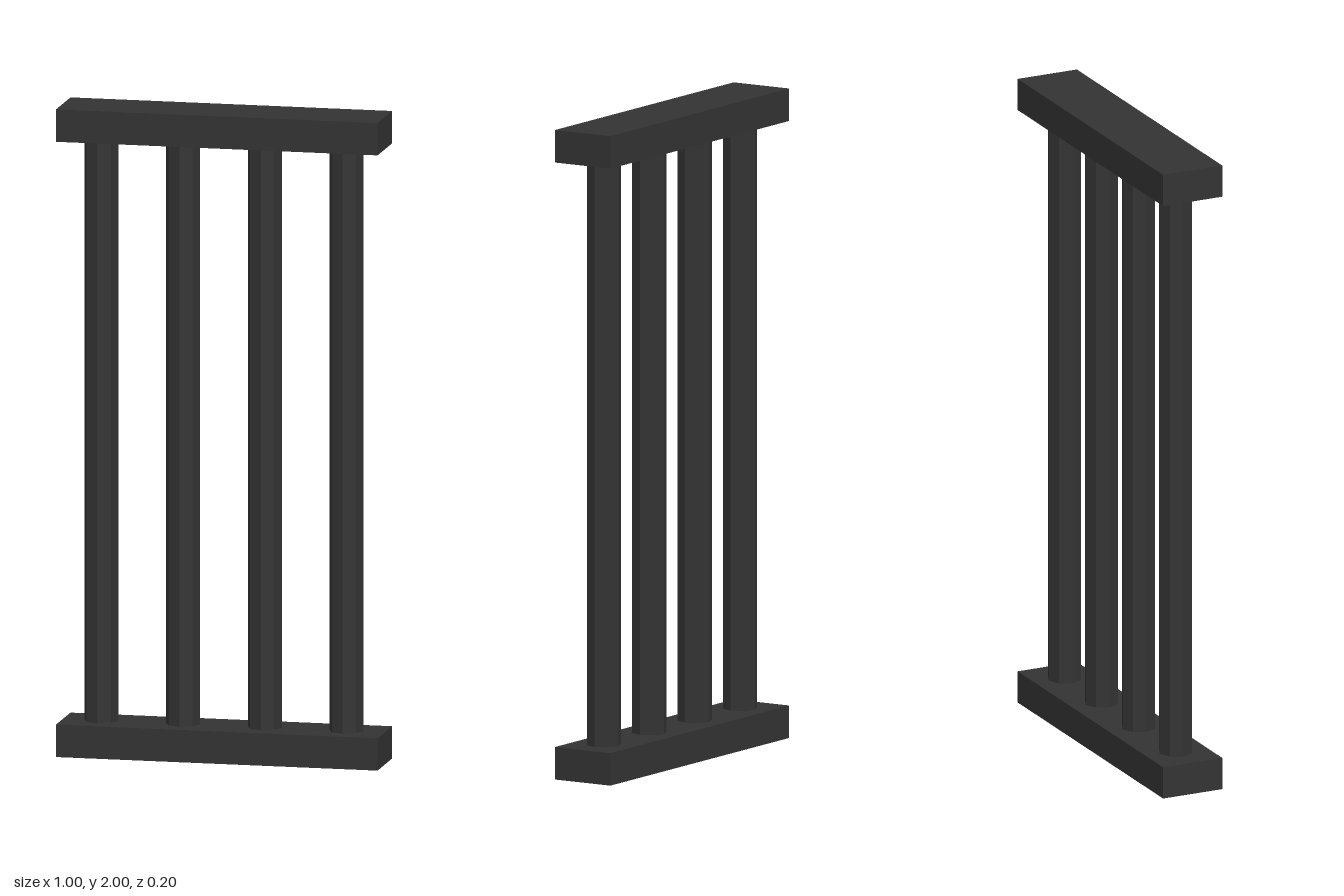
import * as THREE from 'three';

export function createModel() {
  const group = new THREE.Group();
  const material = new THREE.MeshStandardMaterial({ color: 0x333333, flatShading: true });

  const add = (name, geometry, x, y) => {
    const mesh = new THREE.Mesh(geometry, material);
    mesh.name = name;
    mesh.position.set(x, y, 0);
    group.add(mesh);
  };

  // Rails at the bottom and top
  const rail = new THREE.BoxGeometry(1, 0.1, 0.2);
  add('bottomRail', rail, 0, 0.05);
  add('topRail', rail, 0, 1.95);

  // Four evenly spaced eight-sided bars
  const bar = new THREE.CylinderGeometry(0.053, 0.053, 1.8, 8);
  for (let i = 0; i < 4; i++) add(`bar${i + 1}`, bar, (i - 1.5) * 0.254, 1);

  return group;
}
